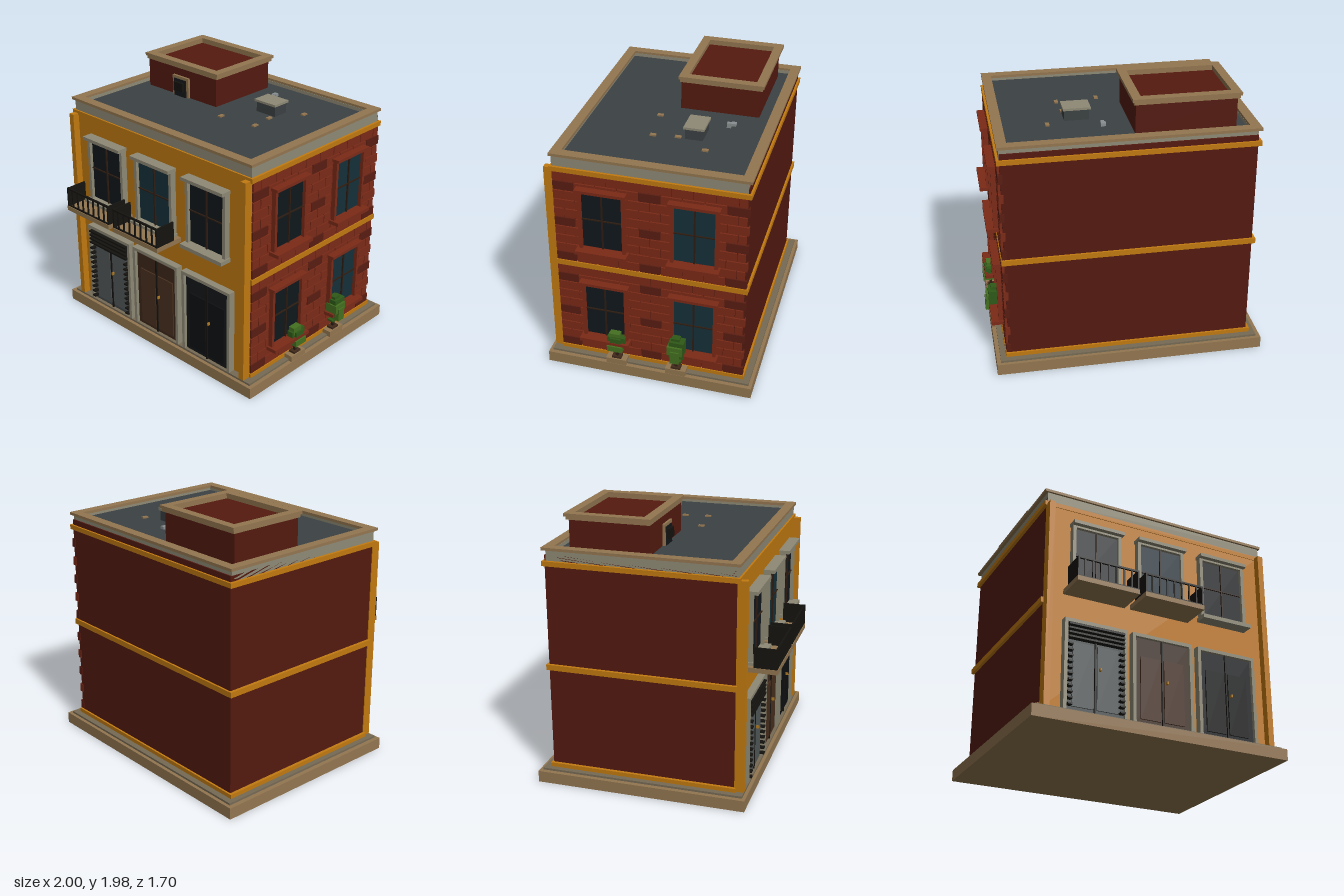
import * as THREE from 'three';

const C = {
  yellow: 0xc27a10, wall: 0x541a10, brick: 0x7c2a17, brickDark: 0x5a1d12, tan: 0x937650, tanDark: 0x766a54,
  stone: 0x8f8a76, roof: 0x3c4143, dark: 0x14171a, glassDark: 0x10181c, glassBlue: 0x16303b,
  wood: 0x40291a, woodDark: 0x2f1d12, steel: 0x454a4c, iron: 0x15130f, brass: 0xb07a20, leaf: 0x2f5a18, leafLight: 0x44701f,
};
const mats = {};
const mat = (c) => (mats[c] ??= new THREE.MeshStandardMaterial({ color: c }));

// box given by its limits on each axis
function box(parent, name, color, x0, x1, y0, y1, z0, z1) {
  const m = new THREE.Mesh(new THREE.BoxGeometry(x1 - x0, y1 - y0, z1 - z0), mat(color));
  m.position.set((x0 + x1) / 2, (y0 + y1) / 2, (z0 + z1) / 2);
  m.name = name;
  parent.add(m);
  return m;
}

function group(parent, name) {
  const g = new THREE.Group();
  g.name = name;
  parent.add(g);
  return g;
}

// horizontal rectangular ring, t = width of its sides
function ring(parent, name, color, x0, x1, y0, y1, z0, z1, t) {
  const g = group(parent, name);
  box(g, name + 'Front', color, x0, x1, y0, y1, z1 - t, z1);
  box(g, name + 'Back', color, x0, x1, y0, y1, z0, z0 + t);
  box(g, name + 'Left', color, x1 - t, x1, y0, y1, z0 + t, z1 - t);
  box(g, name + 'Right', color, x0, x0 + t, y0, y1, z0 + t, z1 - t);
}

// upright surround with two jambs and a head, facing +z
function surround(g, color, x0, x1, y0, y1, z0, z1, t) {
  box(g, 'jamb', color, x0, x0 + t, y0, y1 - t, z0, z1);
  box(g, 'jamb', color, x1 - t, x1, y0, y1 - t, z0, z1);
  box(g, 'head', color, x0, x1, y1 - t, y1, z0, z1);
}

// glass with one upright and one cross bar, facing +z
function glazing(g, color, x0, x1, y0, y1, z) {
  const cx = (x0 + x1) / 2, cy = y0 + (y1 - y0) * 0.52;
  box(g, 'glass', color, x0, x1, y0, y1, z - 0.02, z);
  box(g, 'mullion', C.woodDark, cx - 0.005, cx + 0.005, y0, y1, z, z + 0.012);
  box(g, 'crossBar', C.woodDark, x0, x1, cy - 0.004, cy + 0.004, z, z + 0.01);
}

function frontWindow(parent, cx, glass) {
  const g = group(parent, 'frontWindow');
  g.position.x = cx;
  glazing(g, glass, -0.165, 0.165, 1.01, 1.485, 0.635);
  surround(g, C.stone, -0.19, 0.19, 1.0, 1.5, 0.61, 0.66, 0.025);
  box(g, 'lintel', C.stone, -0.197, 0.197, 1.49, 1.515, 0.61, 0.695);
  box(g, 'sill', C.stone, -0.2, 0.2, 0.975, 1.005, 0.61, 0.71);
}

function balcony(parent, x0, x1) {
  const g = group(parent, 'balcony');
  box(g, 'balconySlab', C.tan, x0, x1, 0.95, 0.985, 0.61, 0.85);
  box(g, 'topRail', C.iron, x0 + 0.003, x1 - 0.003, 1.122, 1.135, 0.833, 0.847);
  box(g, 'bottomRail', C.iron, x0 + 0.003, x1 - 0.003, 0.985, 0.995, 0.835, 0.845);
  for (const x of [x0 + 0.003, x1 - 0.015]) box(g, 'sideRail', C.iron, x, x + 0.012, 0.985, 1.133, 0.68, 0.847);
  for (let i = 1; i < 8; i++) {
    const x = x0 + ((x1 - x0) * i) / 8;
    box(g, 'baluster', C.iron, x - 0.005, x + 0.005, 0.985, 1.125, 0.835, 0.845);
  }
}

// double door with two raised panels, handle and optional louvres
function door(parent, cx, color, panel, louvred) {
  const g = group(parent, 'frontDoor');
  g.position.x = cx;
  surround(g, C.stone, -0.237, 0.237, 0.1, 0.755, 0.61, 0.665, 0.025);
  box(g, 'leaves', color, -0.212, 0.212, 0.1, 0.73, 0.6, 0.64);
  box(g, 'meetingStile', C.iron, -0.006, 0.006, 0.1, 0.73, 0.64, 0.652);
  for (const s of [-1, 1]) {
    const x = s * 0.092;
    box(g, 'panel', panel, x - 0.078, x + 0.078, 0.13, 0.59, 0.64, 0.65);
    if (!louvred) continue;
    for (let i = 0; i < 11; i++) {
      const y = 0.13 + i * 0.043;
      box(g, 'sideSlat', C.iron, s * 0.193 - 0.017, s * 0.193 + 0.017, y, y + 0.012, 0.64, 0.68);
    }
  }
  if (louvred) for (let i = 0; i < 4; i++) box(g, 'louvre', C.iron, -0.21, 0.21, 0.61 + i * 0.032, 0.624 + i * 0.032, 0.64, 0.68);
  box(g, 'handle', C.brass, 0.026, 0.036, 0.41, 0.43, 0.64, 0.672);
}

// brick-framed window modelled facing +z, then turned to the side wall
function sideWindow(parent, z, y, glass) {
  const g = group(parent, 'sideWindow');
  g.rotation.y = Math.PI / 2;
  g.position.set(0, y, z);
  glazing(g, glass, -0.145, 0.145, 0, 0.435, 0.892);
  surround(g, C.brick, -0.168, 0.168, -0.01, 0.458, 0.865, 0.918, 0.023);
  box(g, 'lintel', C.brick, -0.18, 0.18, 0.45, 0.472, 0.865, 0.94);
  box(g, 'sill', C.brick, -0.185, 0.185, -0.035, -0.008, 0.865, 0.968);
}

// staggered courses filling one storey of the side wall
function brickwork(parent, y0, y1) {
  const g = group(parent, 'brickwork');
  const rows = 10, h = (y1 - y0) / rows, w = 0.153;
  for (let r = 0; r < rows; r++) {
    const end = r % 2 ? -0.755 : -0.782;
    for (let i = 0; i < 11; i++) {
      const b = 0.6 - i * w + (r % 2 ? w / 2 : 0);
      const front = Math.min(b, 0.6), back = Math.max(b - w + 0.007, end);
      if (front - back < 0.015) continue;
      const shade = (i * 7 + r * 5 + i * r * 3) % 4 === 0 ? C.brickDark : C.brick;
      box(g, 'brick', shade, 0.85, 0.884, y0 + r * h + 0.004, y0 + (r + 1) * h - 0.003, back, front);
    }
  }
}

function plant(parent, z, tall) {
  const g = group(parent, 'pottedPlant');
  g.position.z = z;
  box(g, 'planter', C.tan, 0.885, 0.958, 0.085, 0.13, -0.076, 0.076);
  box(g, 'soil', C.wood, 0.895, 0.948, 0.13, 0.145, -0.035, 0.035);
  box(g, 'trunk', C.woodDark, 0.912, 0.932, 0.14, 0.26, -0.01, 0.01);
  if (tall) {
    box(g, 'lowLeaves', C.leaf, 0.9, 0.95, 0.195, 0.21, -0.04, 0.04);
    box(g, 'crown', C.leafLight, 0.89, 0.985, 0.285, 0.355, -0.055, 0.055);
    box(g, 'crownCore', C.leaf, 0.895, 0.97, 0.25, 0.39, -0.065, 0.045);
    box(g, 'crownTop', C.leaf, 0.9, 0.95, 0.37, 0.41, -0.03, 0.03);
    box(g, 'crownSide', C.leafLight, 0.93, 0.995, 0.22, 0.32, -0.035, 0.03);
  } else {
    box(g, 'crown', C.leaf, 0.895, 0.965, 0.215, 0.32, -0.04, 0.04);
    box(g, 'crownTop', C.leafLight, 0.9, 0.95, 0.3, 0.355, -0.03, 0.05);
    box(g, 'branchLeaves', C.leaf, 0.9, 0.95, 0.27, 0.325, -0.07, 0.065);
    box(g, 'lowLeaves', C.leafLight, 0.9, 0.98, 0.215, 0.26, -0.055, 0.06);
  }
}

export function createModel() {
  const model = new THREE.Group();
  model.name = 'townhouse';

  // plinth and walls
  box(model, 'baseSlab', C.tan, -1, 0.96, 0, 0.085, -0.85, 0.69);
  box(model, 'baseStep', C.tanDark, -0.967, 0.93, 0.085, 0.1, -0.825, 0.665);
  box(model, 'body', C.wall, -0.905, 0.868, 0.1, 1.7, -0.765, 0.6);
  box(model, 'frontWall', C.yellow, -0.907, 0.87, 0.1, 1.66, 0.595, 0.613);
  for (const x of [-0.91, 0.826]) box(model, 'pilaster', C.yellow, x, x + 0.044, 0.1, 1.64, 0.595, 0.665);
  box(model, 'pilasterEdge', C.yellow, 0.826, 0.87, 0.1, 1.64, 0.595, 0.64);

  // string courses around the sides and back
  box(model, 'baseCourse', C.yellow, -0.928, 0.888, 0.1, 0.13, -0.78, 0.605);
  box(model, 'floorCourse', C.yellow, -0.928, 0.888, 0.86, 0.9, -0.78, 0.605);
  box(model, 'cornice', C.yellow, -0.928, 0.888, 1.625, 1.66, -0.78, 0.618);

  // side wall with bricks and windows
  brickwork(model, 0.13, 0.86);
  brickwork(model, 0.9, 1.625);
  for (const y of [0.29, 1.06]) {
    sideWindow(model, 0.248, y, C.glassDark);
    sideWindow(model, -0.405, y, C.glassBlue);
  }
  plant(model, 0.162, false);
  plant(model, -0.287, true);

  // front openings
  door(model, -0.535, C.steel, 0x53595b, true);
  door(model, -0.023, C.wood, 0x4a301f, false);
  door(model, 0.497, C.dark, 0x0e1012, false);
  frontWindow(model, -0.535, C.glassDark);
  frontWindow(model, -0.023, C.glassBlue);
  frontWindow(model, 0.495, C.glassDark);
  balcony(model, -0.77, -0.3);
  balcony(model, -0.255, 0.212);

  // flat roof and parapet
  box(model, 'roofDeck', C.roof, -0.87, 0.82, 1.69, 1.715, -0.72, 0.555);
  ring(model, 'parapet', C.stone, -0.905, 0.87, 1.66, 1.74, -0.755, 0.605, 0.05);
  ring(model, 'coping', C.tan, -0.928, 0.882, 1.737, 1.757, -0.78, 0.62, 0.072);

  // stair house
  const house = group(model, 'stairHouse');
  box(house, 'stairHouseWalls', C.wall, -0.785, -0.075, 1.71, 1.935, -0.625, -0.045);
  ring(house, 'lowerCoping', C.tan, -0.8, -0.06, 1.93, 1.953, -0.643, -0.038, 0.05);
  ring(house, 'upperCoping', C.tan, -0.81, -0.05, 1.953, 1.975, -0.655, -0.03, 0.064);
  surround(house, C.tan, -0.512, -0.346, 1.71, 1.87, -0.05, -0.028, 0.022);
  box(house, 'stairDoor', C.dark, -0.49, -0.368, 1.71, 1.848, -0.05, -0.02);
  box(house, 'stairDoorPanels', C.iron, -0.475, -0.383, 1.76, 1.83, -0.02, 0.0);

  // roof equipment
  const unit = group(model, 'ventUnit');
  box(unit, 'ventBody', C.roof, 0.195, 0.37, 1.71, 1.795, -0.32, -0.195);
  box(unit, 'ventLid', C.stone, 0.183, 0.38, 1.793, 1.81, -0.332, -0.183);
  box(model, 'ventPipe', 0x8a9092, 0.11, 0.135, 1.71, 1.752, -0.465, -0.435);
  box(model, 'ventPipeTop', 0x8a9092, 0.105, 0.14, 1.735, 1.755, -0.502, -0.465);
  for (const [x, z] of [[0.497, -0.37], [0.362, -0.143], [0.083, 0.065], [0.381, 0.033]]) {
    box(model, 'roofTile', C.tan, x - 0.014, x + 0.014, 1.71, 1.726, z - 0.022, z + 0.022);
  }

  model.position.set(0, 0, 0);
  return model;
}
